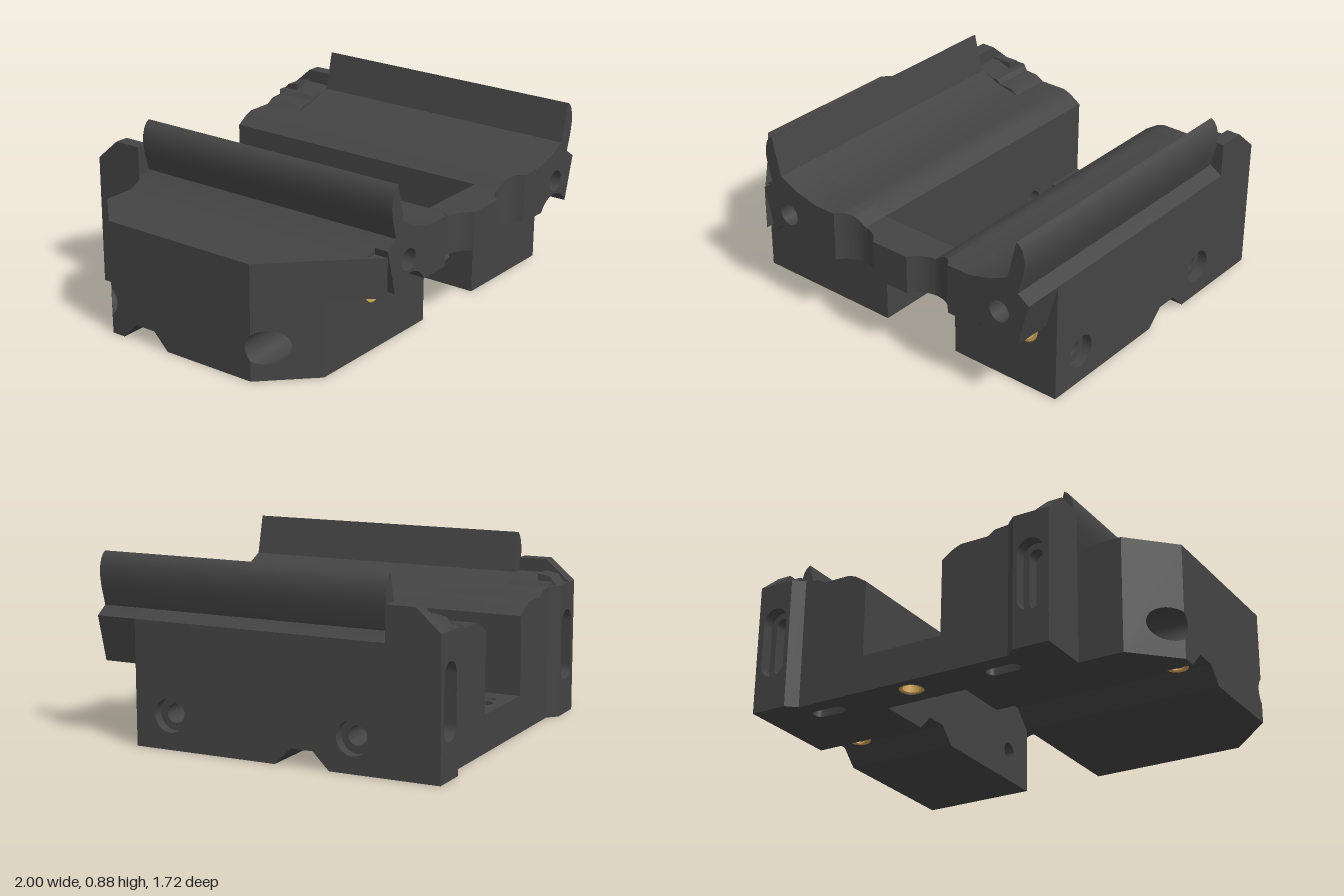
import * as THREE from 'three';
import { toCreasedNormals } from 'three/addons/utils/BufferGeometryUtils.js';

const CX = 0.21; // mirror plane of the two rails
const body = new THREE.MeshStandardMaterial({ color: 0x444444 });
const brass = new THREE.MeshStandardMaterial({ color: 0xd9a95b });

const poly = (pts) => new THREE.Shape(pts.map(([x, y]) => new THREE.Vector2(x, y)));
const rect = (x0, y0, x1, y1) => poly([[x0, y0], [x1, y0], [x1, y1], [x0, y1]]);
const circle = (x, y, r) => new THREE.Path().absarc(x, y, r, 0, Math.PI * 2, false);
// Stadium-shaped hole between two arc centres on a vertical or horizontal line
function stadium(x, y, r, half, vertical) {
  const p = new THREE.Path();
  const a = vertical ? 0 : -Math.PI / 2;
  const dx = vertical ? 0 : half, dy = vertical ? half : 0;
  p.absarc(x + dx, y + dy, r, a, a + Math.PI, false);
  p.absarc(x - dx, y - dy, r, a + Math.PI, a + 2 * Math.PI, false);
  p.closePath();
  return p;
}
function withHoles(shape, ...holes) {
  shape.holes.push(...holes);
  return shape;
}
const extrude = (shape, depth) =>
  new THREE.ExtrudeGeometry(shape, { depth, bevelEnabled: false, curveSegments: 28 });
// Extrusions along each axis; shapes are (x,y), (z,y) and (x,z)
const extZ = (s, z0, z1) => extrude(s, z1 - z0).translate(0, 0, z0);
const extX = (s, x0, x1) => extrude(s, x1 - x0).rotateY(-Math.PI / 2).translate(x1, 0, 0);
const extY = (s, y0, y1) => extrude(s, y1 - y0).rotateX(Math.PI / 2).translate(0, y1, 0);

function mirrored(geo) {
  const g = geo.clone().scale(-1, 1, 1).translate(2 * CX, 0, 0);
  const p = g.attributes.position;
  for (let i = 0; i < p.count; i += 3) {
    const b = [p.getX(i + 1), p.getY(i + 1), p.getZ(i + 1)];
    p.setXYZ(i + 1, p.getX(i + 2), p.getY(i + 2), p.getZ(i + 2));
    p.setXYZ(i + 2, ...b);
  }
  return toCreasedNormals(g, 0.5);
}

// Short open sleeve made by turning a rectangular section
function sleeve(outer, inner, h) {
  const pts = [[inner, 0], [outer, 0], [outer, h], [inner, h], [inner, 0]];
  return new THREE.LatheGeometry(pts.map(([x, y]) => new THREE.Vector2(x, y)), 32);
}

export function createModel() {
  const model = new THREE.Group();
  const add = (name, geo, mat = body) => {
    const g = toCreasedNormals(geo, 0.5);
    const mesh = new THREE.Mesh(g, mat);
    mesh.name = name;
    model.add(mesh);
    return g;
  };
  const addPair = (name, geo, mat = body) => {
    const g = add(name + 'Right', geo, mat);
    const mesh = new THREE.Mesh(mirrored(g), mat);
    mesh.name = name + 'Left';
    model.add(mesh);
  };

  const HZ = [0.48, -0.445], HY = 0.16; // cross bores
  const notch = [[-0.33, 0], [-0.25, 0.08], [-0.14, 0.08], [-0.06, 0]];

  // Lower rails with cross bores, counterbores and underside notch
  const lower = (r) => withHoles(
    poly([[-0.6, 0], ...notch, [0.6, 0], [0.6, 0.37], [-0.6, 0.37]]),
    ...HZ.map((z) => circle(z, HY, r)));
  addPair('lowerRail', extX(lower(0.045), -0.53, 0));
  addPair('counterboredWall', extX(lower(0.08), -0.58, -0.53));

  // Front plates with brass sleeves
  addPair('frontPlate', extZ(withHoles(rect(-0.58, 0, 0, 0.37), circle(-0.41, 0.305, 0.064)), 0.6, 0.66));
  addPair('frontSleeve', sleeve(0.064, 0.05, 0.06).rotateX(Math.PI / 2).translate(-0.41, 0.305, 0.605), brass);

  // Upper rails
  const top = [[-0.58, 0.59], [-0.52, 0.63], [-0.465, 0.69], [-0.37, 0.645], [-0.25, 0.615],
    [-0.13, 0.615], [-0.1, 0.615], [-0.06, 0.6], [0, 0.56]];
  addPair('upperRail', extZ(poly([[0, 0.37], [-0.58, 0.37], ...top].reverse()), -0.6, 0.66));

  // Front overhang with an arch over each sleeve and a blind hole
  const over = new THREE.Shape();
  over.moveTo(-0.58, 0.37);
  const a = Math.asin(0.065 / 0.13);
  over.absarc(-0.41, 0.305, 0.13, Math.PI - a, a, true);
  over.lineTo(-0.13, 0.37);
  top.slice(0, 6).reverse().forEach(([x, y]) => over.lineTo(x, y));
  addPair('frontOverhang', extZ(withHoles(over, circle(-0.42, 0.5, 0.053)), 0.66, 0.86));

  // Front bridge with two scallops, lofted from rectangular sections along x
  const topAt = (x) => {
    const u = x > CX ? 2 * CX - x : x;
    if (u >= 0) return 0.56;
    const i = top.findIndex(([px]) => px >= u - 1e-6);
    const [x0, y0] = top[Math.max(i - 1, 0)], [x1, y1] = top[i];
    return y0 + (y1 - y0) * (u - x0) / (x1 - x0);
  };
  const pos = [], idx = [], N = 68;
  for (let i = 0; i <= N; i++) {
    const x = -0.13 + 0.01 * i;
    const d = Math.min(Math.abs(x + 0.01), Math.abs(x - 0.43));
    const zf = Math.min(0.86, 0.928 - Math.sqrt(Math.max(0, 0.138 ** 2 - d * d)));
    const yt = topAt(x);
    pos.push(x, 0.37, 0.66, x, 0.37, zf, x, yt, zf, x, yt, 0.66);
    for (let k = 0; k < 4 && i < N; k++) {
      const A = i * 4 + k, A1 = i * 4 + (k + 1) % 4;
      idx.push(A, A + 4, A1 + 4, A, A1 + 4, A1);
    }
  }
  const bridge = new THREE.BufferGeometry();
  bridge.setAttribute('position', new THREE.Float32BufferAttribute(pos, 3));
  bridge.setIndex(idx);
  add('frontBridge', bridge);

  // Curved fins along the outer edges
  addPair('fin', extZ(poly([[-0.53, 0.61], [-0.46, 0.68], [-0.51, 0.88], [-0.528, 0.868], [-0.543, 0.845],
    [-0.553, 0.81], [-0.554, 0.77], [-0.546, 0.72], [-0.52, 0.63]]), -0.59, 0.86));

  // Rear rail ends with stepped tops
  const steps = [[-0.4, 0.665], [-0.37, 0.665], [-0.35, 0.645], [-0.28, 0.64], [-0.24, 0.615],
    [-0.1, 0.615], [-0.06, 0.6], [0, 0.56]];
  addPair('rearRail', extZ(poly([[-0.58, 0], [-0.4, 0], [-0.4, 0.08], [0, 0.08],
    ...steps.slice().reverse(), [-0.47, 0.69], [-0.58, 0.69]]), -0.74, -0.6));
  addPair('rearWall', extZ(poly([[-0.4, 0.08], [0, 0.08], ...steps.slice().reverse()]), -0.815, -0.74));
  addPair('rearFoot', extY(withHoles(rect(-0.4, -0.815, 0, -0.6),
    stadium(-0.26, -0.7, 0.035, 0.05, false)), 0, 0.08));

  // Rear corner posts with stepped slots and sloped caps
  const post = (r) => withHoles(rect(-0.58, 0, -0.4, 0.65), stadium(-0.485, 0.345, r, 0.11, true));
  addPair('cornerPost', extZ(post(0.065), -0.86, -0.8));
  addPair('cornerPostInner', extZ(post(0.035), -0.8, -0.74));
  addPair('cornerChamfer', extY(poly([[-0.4, -0.86], [-0.35, -0.815], [-0.4, -0.815]]), 0, 0.65));
  addPair('cornerCap', extX(poly([[-0.86, 0.6], [-0.6, 0.6], [-0.6, 0.755], [-0.74, 0.755], [-0.86, 0.65]]),
    -0.58, -0.51));
  addPair('cornerCapSlope', extX(poly([[-0.84, 0.64], [-0.74, 0.64], [-0.74, 0.7], [-0.8, 0.69]]), -0.51, -0.4));

  // Rear bridge with a through hole and two small blind holes
  const rear = (...h) => withHoles(rect(0, -0.815, 0.42, -0.6), ...h);
  add('rearBridgeTop', extY(rear(circle(CX, -0.72, 0.042), circle(CX - 0.09, -0.72, 0.022),
    circle(CX + 0.09, -0.72, 0.022)), 0.1, 0.18));
  add('rearBridgeBase', extY(rear(circle(CX, -0.72, 0.058)), 0, 0.1));
  add('rearSleeve', sleeve(0.058, 0.042, 0.09).translate(CX, 0.005, -0.72), brass);

  // Side block: strips along z, outer face pushed in to form the corner chamfers
  const R = 0.08;
  function strip(name, z0, z1, y0, low, leftBore, rightBore) {
    const s = new THREE.Shape();
    s.moveTo(z0, y0);
    low.forEach(([z, y]) => s.lineTo(z, y));
    s.lineTo(z1, y0);
    if (rightBore !== undefined) {
      const t = Math.acos((z1 - rightBore) / R);
      s.absarc(rightBore, HY, R, -t, t, true);
    }
    s.lineTo(z1, 0.56);
    s.lineTo(z0, 0.56);
    if (leftBore !== undefined) {
      const t = Math.acos((z0 - leftBore) / R);
      s.absarc(leftBore, HY, R, t, -t, true);
    }
    const g = extX(s, -1, -0.58), p = g.attributes.position;
    for (let i = 0; i < p.count; i++) {
      if (p.getX(i) > -0.99) continue;
      const z = p.getZ(i);
      p.setX(i, Math.min(-0.58, -1 + Math.max(0, z - 0.43, -0.4 - z)));
    }
    add(name, g);
  }
  strip('sideBlockMiddle', -0.4, 0.43, 0, notch, HZ[1], HZ[0]);
  strip('sideBlockFront', 0.43, 0.66, 0, [], HZ[0], undefined);
  strip('sideBlockRear', -0.6, -0.4, 0, [], undefined, HZ[1]);
  strip('sideBlockOverhang', 0.66, 0.86, 0.37, []);
  add('sideFillet', extZ(poly([[-0.64, 0.558], [-0.58, 0.558], [-0.58, 0.59]]), -0.6, 0.79));

  // Brass inserts in the underside notch
  for (const x of [-0.86, 0.87]) {
    add('notchInsert', sleeve(0.052, 0.03, 0.03).translate(x, 0.07, -0.195), brass);
  }
  return model;
}
